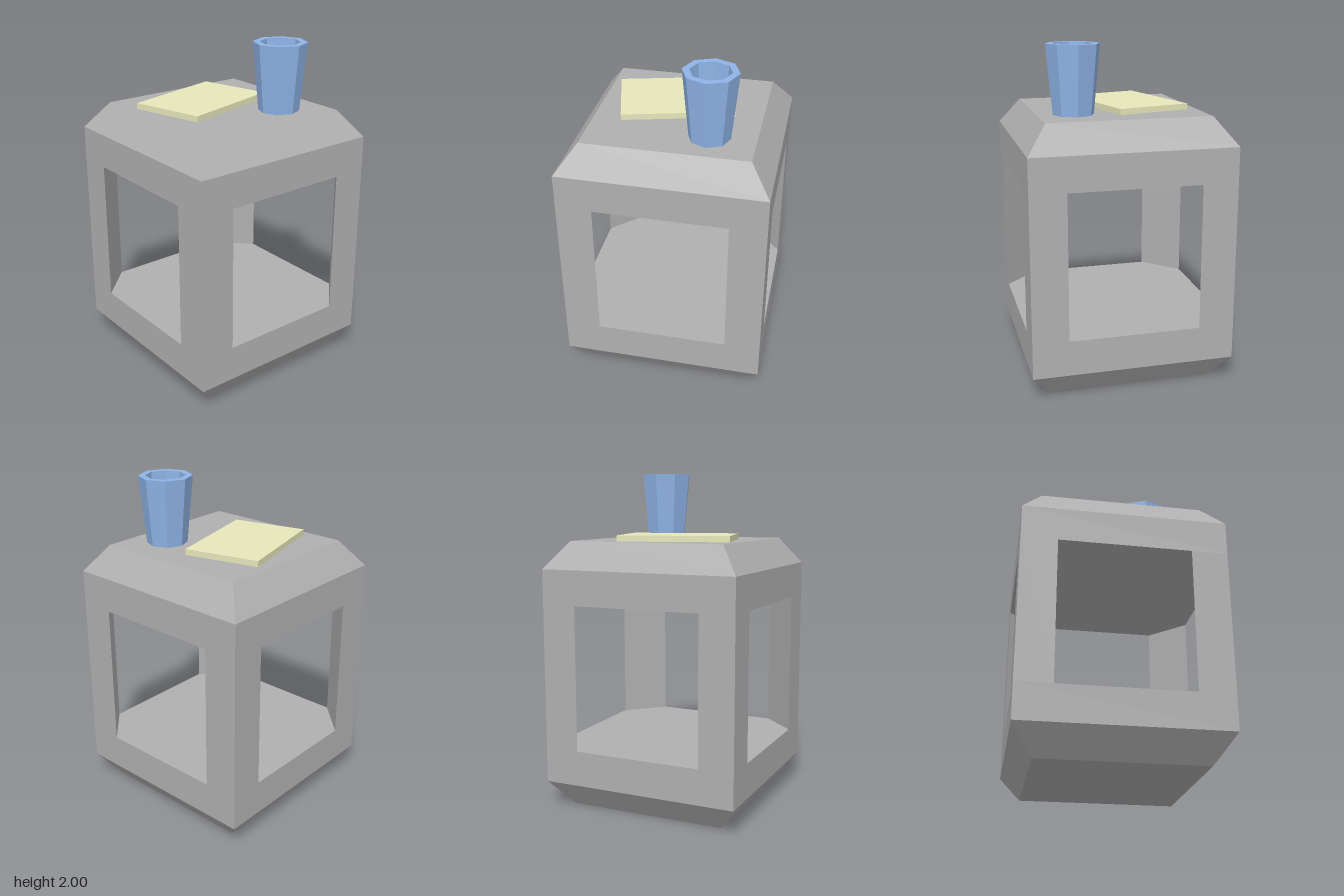
import * as THREE from 'three';

function material(name, color) {
  const m = new THREE.MeshStandardMaterial({ color });
  m.name = name;
  return m;
}

function mesh(name, geometry, mat) {
  const m = new THREE.Mesh(geometry, mat);
  m.name = name;
  return m;
}

// Faceted lathe: [radius, y] profile turned with few sides and hard edges.
function faceted(profile, sides, phiStart = 0) {
  const points = profile.map(([r, y]) => new THREE.Vector2(r, y));
  const g = new THREE.LatheGeometry(points, sides, phiStart).toNonIndexed();
  g.computeVertexNormals();
  return g;
}

// Square block whose profile is given as half-widths.
const squareBlock = (profile) =>
  faceted(profile.map(([w, y]) => [w * Math.SQRT2, y]), 4, Math.PI / 4);

export function createModel() {
  const grey = material('body grey', 0xb0b0b0);
  const paleBlue = material('cup blue', 0x9ec7ff);
  const deepBlue = material('liquid blue', 0x0000ff);
  const cream = material('plate cream', 0xffffcf);

  const half = 0.6, bevel = 0.48, opening = 0.388;
  const sill = 0.37, lintel = 1.235;

  const model = new THREE.Group();
  model.name = 'model';

  // Bevelled base and cap
  model.add(mesh('base', squareBlock([[0, 0], [bevel, 0], [half, 0.16], [half, sill], [0, sill]]), grey));
  model.add(mesh('cap', squareBlock([[0, lintel], [half, lintel], [half, 1.44], [bevel, 1.6], [0, 1.6]]), grey));

  // Triangular corner posts
  const corner = new THREE.Shape([
    new THREE.Vector2(half, half),
    new THREE.Vector2(opening, half),
    new THREE.Vector2(half, opening),
  ]);
  const postGeometry = new THREE.ExtrudeGeometry(corner, { depth: lintel - sill, bevelEnabled: false });
  postGeometry.rotateX(-Math.PI / 2);
  for (let i = 0; i < 4; i++) {
    const post = mesh('cornerPost', postGeometry, grey);
    post.position.y = sill;
    post.rotation.y = i * Math.PI / 2;
    model.add(post);
  }

  // Thin plate lying askew on the cap
  const plate = mesh('plate', new THREE.BoxGeometry(0.655, 0.035, 0.455), cream);
  plate.position.set(-0.055, 1.6175, -0.118);
  plate.rotation.y = 0.255;
  model.add(plate);

  // Eight-sided flared cup with liquid inside
  const cup = new THREE.Group();
  cup.name = 'cup';
  cup.position.set(0.215, 1.6, 0.27);
  cup.add(mesh('cupWall', faceted(
    [[0, 0], [0.12, 0], [0.158, 0.4], [0.117, 0.4], [0.098, 0.01], [0, 0.01]], 8), paleBlue));
  const liquid = mesh('liquid', new THREE.CircleGeometry(0.107, 8), deepBlue);
  liquid.rotation.x = -Math.PI / 2;
  liquid.position.y = 0.2;
  cup.add(liquid);
  model.add(cup);

  return model;
}
